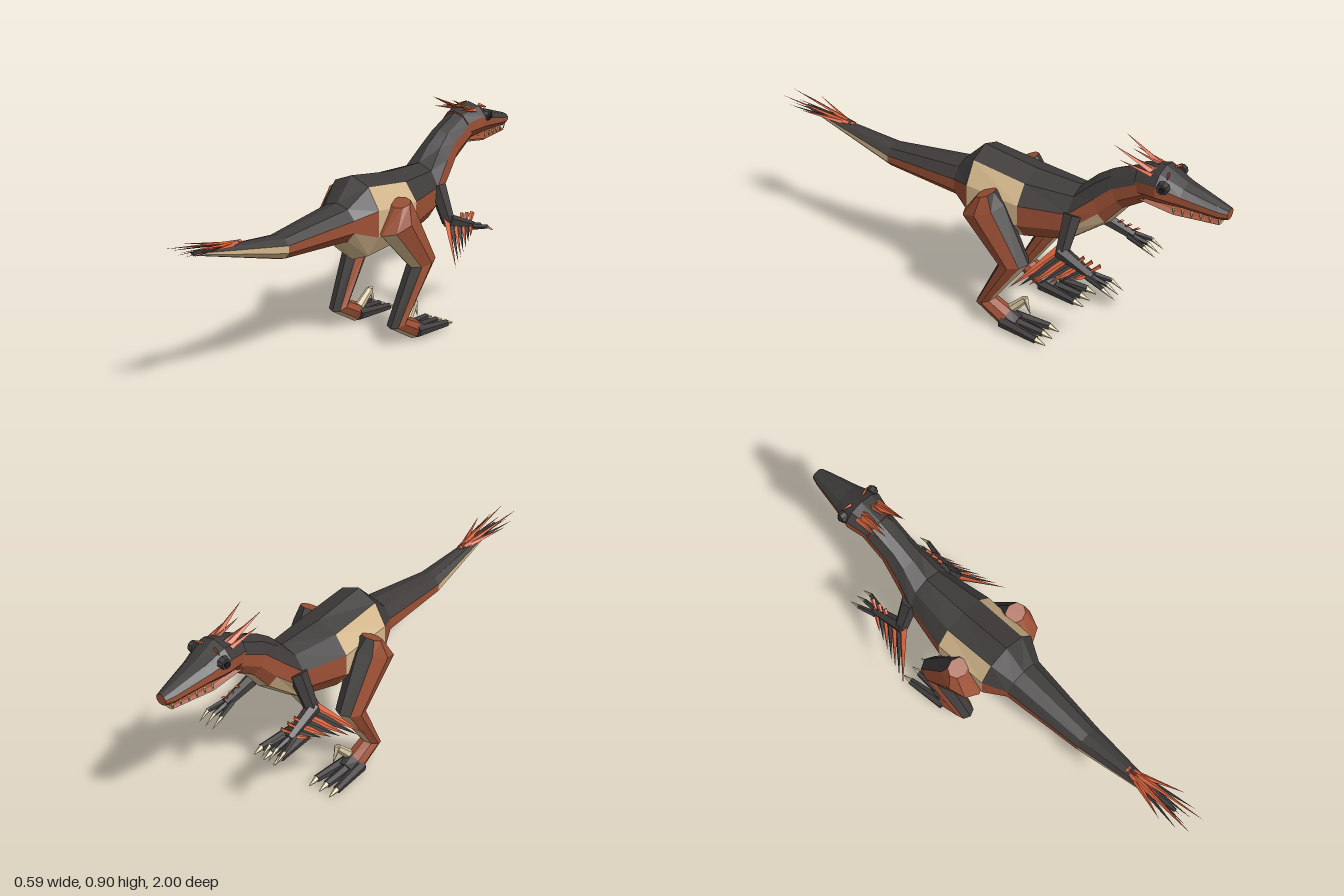
import * as THREE from 'three';

const paint = (name, color) => Object.assign(new THREE.MeshStandardMaterial({ color, flatShading: true }), { name });

export function createModel() {
  const model = new THREE.Group();
  model.name = 'featheredRaptor';
  const dark = paint('charcoal', 0x3f3b3b);
  const rust = paint('rust', 0x9c5035);
  const cream = paint('cream', 0xd4b78c);
  const orange = paint('orange', 0xd5603a);
  const ivory = paint('ivory', 0xd8c8a2);
  const black = paint('black', 0x1d1a1a);
  const V = (x, y, z) => new THREE.Vector3(x, y, z);

  // Skin over rings [z, y of one pole, z, y of the other, half width, centre x];
  // bands[k] lists the colours of a segment from first pole to second, mirrored
  function loft(name, rings, bands, caps) {
    const half = bands[0].length, n = half * 2;
    const buckets = new Map();
    const tri = (mat, ...pts) => {
      if (!buckets.has(mat)) buckets.set(mat, []);
      pts.forEach(p => buckets.get(mat).push(p.x, p.y, p.z));
    };
    const centre = ([z0, y0, z1, y1, , x = 0]) => V(x, (y0 + y1) / 2, (z0 + z1) / 2);
    const loops = rings.map(r => Array.from({ length: n }, (_, i) => {
      const a = i / n * Math.PI * 2, c = Math.cos(a) / 2;
      return centre(r).add(V(r[4] * Math.sin(a), (r[1] - r[3]) * c, (r[0] - r[2]) * c));
    }));
    const last = rings.length - 1;
    for (let i = 0; i < n; i++) {
      const j = (i + 1) % n, side = i < half ? i : n - 1 - i;
      for (let k = 0; k < last; k++) {
        const A = loops[k], B = loops[k + 1], m = bands[Math.min(k, bands.length - 1)][side];
        tri(m, A[i], A[j], B[j]);
        tri(m, A[i], B[j], B[i]);
      }
      tri(caps[0], centre(rings[0]), loops[0][j], loops[0][i]);
      tri(caps[1], centre(rings[last]), loops[last][i], loops[last][j]);
    }
    const geo = new THREE.BufferGeometry(), all = [];
    [...buckets.values()].forEach((list, i) => {
      geo.addGroup(all.length / 3, list.length / 3, i);
      list.forEach(v => all.push(v));
    });
    geo.setAttribute('position', new THREE.Float32BufferAttribute(all, 3));
    geo.computeVertexNormals();
    const mesh = new THREE.Mesh(geo, [...buckets.keys()]);
    mesh.name = name;
    model.add(mesh);
  }

  // Tapered rod from a to b; flat squeezes it across for feathers
  function rod(name, mat, a, b, r0, r1 = 0, sides = 6, flat = 1) {
    const geo = new THREE.CylinderGeometry(r1, r0, a.distanceTo(b), sides);
    geo.scale(1, 1, flat);
    const mesh = new THREE.Mesh(geo, mat);
    mesh.name = name;
    mesh.position.copy(a).lerp(b, 0.5);
    mesh.quaternion.setFromUnitVectors(V(0, 1, 0), b.clone().sub(a).normalize());
    model.add(mesh);
  }

  // Tail, trunk and neck
  loft('body', [
    [0.90, 0.62, 0.90, 0.607, 0.007],
    [0.46, 0.573, 0.46, 0.476, 0.058],
    [0.12, 0.612, 0.12, 0.452, 0.092],
    [0.03, 0.703, 0.03, 0.358, 0.142],
    [-0.20, 0.668, -0.20, 0.38, 0.147],
    [-0.40, 0.66, -0.38, 0.42, 0.108],
    [-0.47, 0.73, -0.53, 0.54, 0.08],
    [-0.53, 0.772, -0.60, 0.63, 0.07],
    [-0.66, 0.832, -0.69, 0.69, 0.07],
  ], [
    [dark, dark, cream, cream, cream],
    [dark, dark, rust, rust, cream],
    [dark, dark, rust, cream, cream],
    [dark, cream, cream, cream, cream],
    [dark, dark, rust, rust, cream],
    [dark, dark, rust, cream, cream],
    [dark, dark, rust, rust, cream],
    [dark, dark, rust, rust, cream],
  ], [dark, rust]);

  // Skull with upper jaw, and the lower jaw
  loft('head', [
    [-0.64, 0.83, -0.66, 0.70, 0.068],
    [-0.74, 0.853, -0.74, 0.708, 0.09],
    [-0.83, 0.808, -0.83, 0.712, 0.066],
    [-0.96, 0.768, -0.97, 0.704, 0.037],
    [-1.00, 0.755, -1.00, 0.712, 0.026],
  ], [[dark, dark, rust, rust, rust]], [rust, rust]);
  loft('lowerJaw', [
    [-0.66, 0.73, -0.66, 0.695, 0.058],
    [-0.80, 0.702, -0.80, 0.675, 0.05],
    [-0.97, 0.698, -0.97, 0.682, 0.024],
  ], [[rust, rust, cream, cream]], [cream, cream]);

  // Tail fan
  for (let i = -4; i <= 4; i++) {
    const a = Math.abs(i);
    const tip = [0.93, 0.96, 1.0, 0.95, 0.88][a];
    rod('tailFeather', a % 2 ? dark : orange, V(i * 0.003, 0.6, 0.66 + a * 0.012),
      V(i * 0.0175, 0.615 + (a === 2 ? 0.035 : a * 0.004), tip), 0.013, 0, 4, 0.5);
  }

  for (const s of [-1, 1]) {
    const P = (x, y, z) => V(s * x, y, z);

    // Leg: thigh, shin and foot in one skin, front pole first
    loft('leg', [
      [-0.11, 0.612, -0.04, 0.585, 0.045, s * 0.158],
      [-0.15, 0.56, 0.03, 0.485, 0.075, s * 0.15],
      [-0.268, 0.34, -0.14, 0.315, 0.054, s * 0.164],
      [-0.11, 0.118, -0.028, 0.085, 0.041, s * 0.15],
      [-0.18, 0.085, -0.165, 0.004, 0.045, s * 0.15],
      [-0.22, 0.062, -0.22, 0.01, 0.045, s * 0.15],
    ], [
      [dark, rust, rust, rust],
      [dark, rust, rust, cream],
      [cream, rust, rust, dark],
      [rust, rust, rust, cream],
      [dark, dark, dark, dark],
    ], [rust, dark]);

    // Toes with claws, and the raised sickle claw
    for (const d of [-0.052, 0, 0.052]) {
      const x = 0.15 + d;
      rod('toe', dark, P(0.15 + d * 0.6, 0.042, -0.16), P(x, 0.032, -0.33), 0.025, 0.016);
      rod('toeClaw', ivory, P(x, 0.034, -0.325), P(x, 0.022, -0.372), 0.014, 0.002, 5);
    }
    rod('sickleToe', ivory, P(0.125, 0.075, -0.17), P(0.115, 0.135, -0.228), 0.02, 0.015);
    rod('sickleClaw', ivory, P(0.115, 0.14, -0.226), P(0.113, 0.065, -0.252), 0.014, 0, 5);

    // Arm
    rod('upperArm', dark, P(0.085, 0.575, -0.41), P(0.15, 0.435, -0.405), 0.038, 0.028);
    rod('forearm', dark, P(0.15, 0.445, -0.395), P(0.165, 0.388, -0.545), 0.029, 0.02);
    for (const d of [-0.035, 0, 0.035]) {
      const x = 0.163 + d;
      rod('finger', dark, P(0.163 + d * 0.4, 0.39, -0.53), P(x, 0.375, -0.61), 0.013, 0.009, 5);
      rod('fingerClaw', ivory, P(x, 0.377, -0.605), P(x, 0.345, -0.66), 0.009, 0, 5);
    }

    // Arm feathers, longest at the elbow
    for (let i = 0; i < 7; i++) {
      const t = i / 6;
      const root = P(0.165 - 0.02 * t, 0.40 + 0.045 * t, -0.54 + 0.14 * t);
      const tip = P(0.215 + 0.08 * t, 0.37 - 0.06 * t, -0.47 + 0.21 * t);
      rod('armFeather', i % 2 ? dark : orange, root, tip, 0.016 + 0.009 * t, 0, 4, 0.45);
    }
    for (let i = 0; i < 3; i++) {
      const z = -0.47 - i * 0.035;
      rod('wristQuill', orange, P(0.15, 0.45 - i * 0.006, z - 0.03), P(0.185, 0.375, z + 0.045), 0.01, 0, 4, 0.5);
    }

    // Crest, brow, eye and teeth
    rod('crestFeather', orange, P(0.03, 0.825, -0.71), P(0.05, 0.902, -0.55), 0.017, 0, 4, 0.6);
    rod('crestFeather', orange, P(0.05, 0.825, -0.71), P(0.062, 0.855, -0.58), 0.013, 0, 4, 0.6);
    rod('crestFeather', rust, P(0.02, 0.835, -0.71), P(0.025, 0.862, -0.59), 0.012, 0, 4, 0.6);
    rod('brow', orange, P(0.03, 0.838, -0.765), P(0.062, 0.832, -0.775), 0.009, 0.003, 4, 0.6);
    rod('eyeSocket', dark, P(0.068, 0.80, -0.765), P(0.09, 0.802, -0.768), 0.026, 0.02, 8);
    rod('eye', black, P(0.08, 0.80, -0.767), P(0.096, 0.802, -0.77), 0.015, 0.01, 8);
    for (let i = 0; i < 6; i++) {
      const z = -0.80 - i * 0.034, x = 0.046 - i * 0.0045;
      rod('tooth', ivory, P(x, 0.716, z), P(x, 0.69, z), 0.007, 0, 4);
    }
  }
  return model;
}
